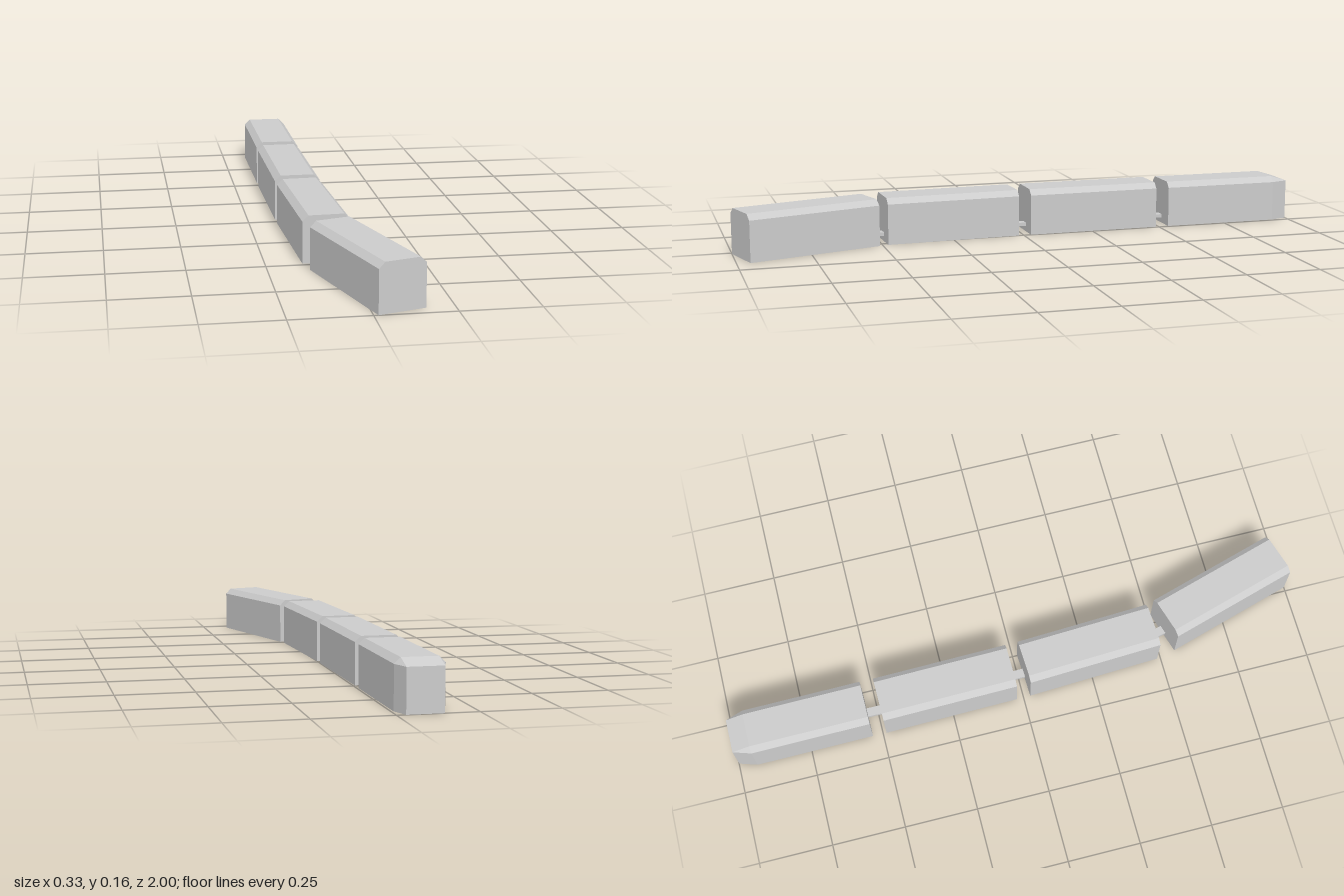
import * as THREE from 'three';

const LENGTH = 0.464, HALF_W = 0.0775, HEIGHT = 0.157, EAVE = 0.138, CHAMFER = 0.02;

const shellMaterial = new THREE.MeshStandardMaterial({
  color: 0xcccccc, flatShading: true, side: THREE.DoubleSide,
});
const barMaterial = new THREE.MeshStandardMaterial({ color: 0xcccccc, flatShading: true });

// Car outline at one z, open at the bottom: wall, chamfer, roof, chamfer, wall
function section(z, halfW, eave, roofHalfW, roofY) {
  return [
    [halfW, 0, z], [halfW, eave, z], [roofHalfW, roofY, z],
    [-roofHalfW, roofY, z], [-halfW, eave, z], [-halfW, 0, z],
  ];
}

// Thin shell through the sections (front to back), closed at both ends
function shellGeometry(sections) {
  const pos = [];
  const tri = (a, b, c) => pos.push(...a, ...b, ...c);
  for (let s = 0; s < sections.length - 1; s++) {
    const f = sections[s], b = sections[s + 1];
    for (let i = 0; i < f.length - 1; i++) {
      tri(f[i], b[i], f[i + 1]);
      tri(f[i + 1], b[i], b[i + 1]);
    }
  }
  const front = sections[0], back = sections[sections.length - 1];
  for (let i = 1; i < front.length - 1; i++) {
    tri(front[0], front[i], front[i + 1]);
    tri(back[0], back[i + 1], back[i]);
  }
  const geometry = new THREE.BufferGeometry();
  geometry.setAttribute('position', new THREE.Float32BufferAttribute(pos, 3));
  geometry.computeVertexNormals();
  return geometry;
}

export function createModel() {
  const model = new THREE.Group();
  model.name = 'articulatedTrain';

  const roofW = HALF_W - CHAMFER;
  const full = (z) => section(z, HALF_W, EAVE, roofW, HEIGHT);
  const end = LENGTH / 2;
  const plainCar = shellGeometry([full(end), full(-end)]);
  // The last car tapers to a narrower, lower end
  const taperedCar = shellGeometry([
    full(end), full(-end + 0.06), section(-end, roofW, EAVE, roofW, EAVE),
  ]);

  // Cars from front to back: centre x, centre z, heading in degrees
  const cars = [
    { name: 'frontCar', x: 0.0226, z: 0.7555, turn: 16.5 },
    { name: 'secondCar', x: -0.066, z: 0.2525, turn: 2.7 },
    { name: 'thirdCar', x: -0.081, z: -0.257, turn: 0.8 },
    { name: 'rearCar', x: -0.085, z: -0.768, turn: 0.3 },
  ];
  cars.forEach((car, i) => {
    const mesh = new THREE.Mesh(i === cars.length - 1 ? taperedCar : plainCar, shellMaterial);
    mesh.name = car.name;
    mesh.position.set(car.x, 0, car.z);
    mesh.rotation.y = THREE.MathUtils.degToRad(car.turn);
    model.add(mesh);
    car.axis = new THREE.Vector3(Math.sin(mesh.rotation.y), 0, Math.cos(mesh.rotation.y));
  });

  // Flat coupling bars reaching a little way inside both neighbours
  for (let i = 0; i < cars.length - 1; i++) {
    const [a, b] = [cars[i], cars[i + 1]];
    const p = new THREE.Vector3(a.x, 0, a.z).addScaledVector(a.axis, -end);
    const q = new THREE.Vector3(b.x, 0, b.z).addScaledVector(b.axis, end);
    const d = p.clone().sub(q);
    const bar = new THREE.Mesh(new THREE.BoxGeometry(0.03, 0.012, d.length() + 0.045), barMaterial);
    bar.name = 'couplingBar' + (i + 1);
    bar.position.copy(p).add(q).multiplyScalar(0.5).setY(0.025);
    bar.rotation.y = Math.atan2(d.x, d.z);
    model.add(bar);
  }
  return model;
}
